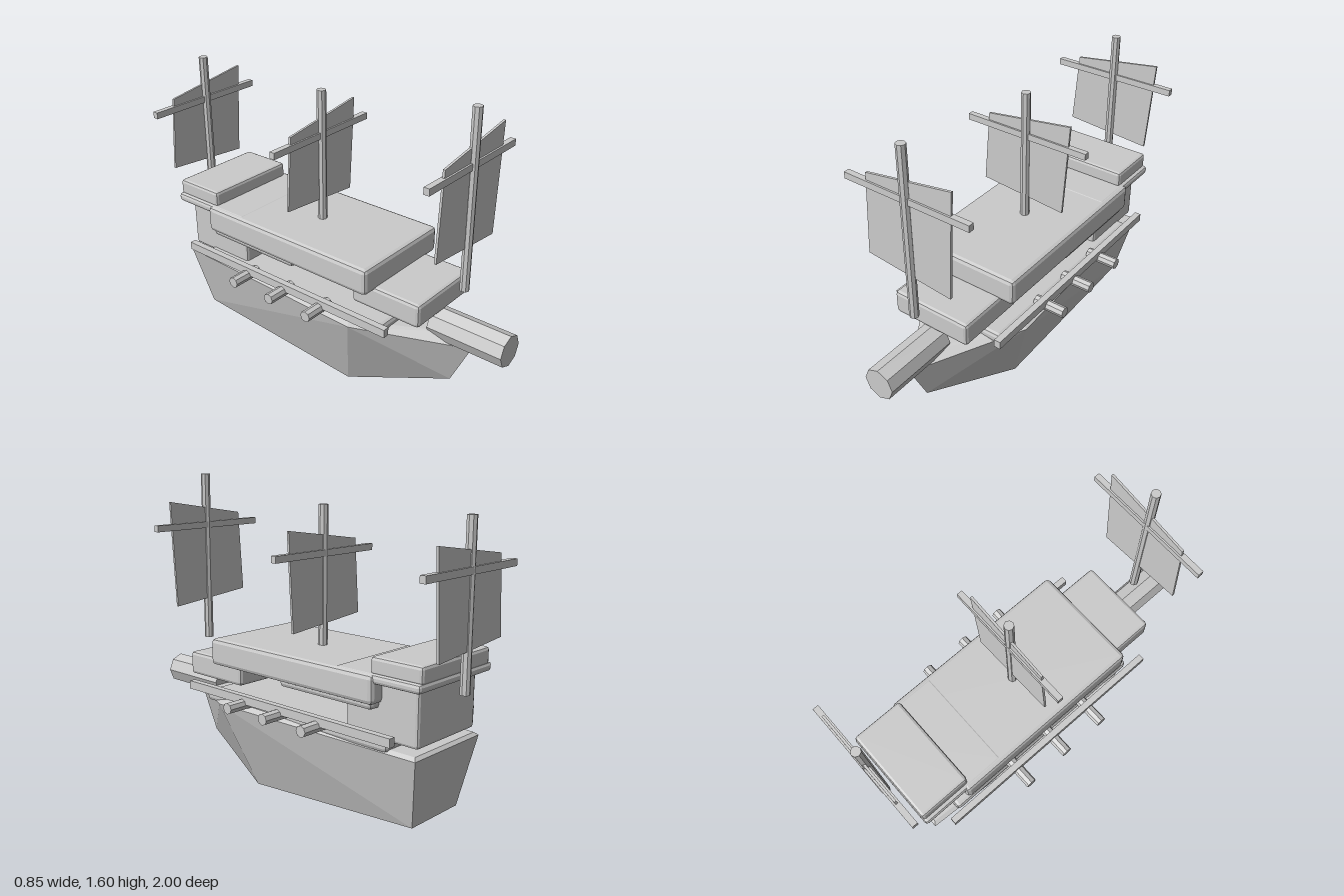
import * as THREE from 'three';
import { RoundedBoxGeometry } from 'three/addons/geometries/RoundedBoxGeometry.js';
import { ConvexGeometry } from 'three/addons/geometries/ConvexGeometry.js';

const grey = new THREE.MeshStandardMaterial({ color: 0xcccccc, flatShading: true });

function add(parent, name, geometry, x = 0, y = 0, z = 0) {
  const mesh = new THREE.Mesh(geometry, grey);
  mesh.name = name;
  mesh.position.set(x, y, z);
  parent.add(mesh);
  return mesh;
}

// Box with chamfered edges, given its half width and its y and z ranges
function block(parent, name, halfWidth, y0, y1, z0, z1, chamfer) {
  const g = new RoundedBoxGeometry(halfWidth * 2, y1 - y0, z1 - z0, 1, chamfer);
  return add(parent, name, g, 0, (y0 + y1) / 2, (z0 + z1) / 2);
}

// Faceted hull: pointed stem, broad shoulders, narrower stern, slightly raised deck
function hullGeometry() {
  const half = [
    [0.32, 0.455, 0.29], [0.165, 0.005, 0.17], // shoulder, keel corner
    [0.25, 0.43, -0.90], [0.175, 0.08, -0.84], // stern
    [0.285, 0.47, 0.27], [0.23, 0.445, -0.885], // deck
  ];
  const points = [new THREE.Vector3(0, 0.38, 0.80), new THREE.Vector3(0, 0.15, 0.69), new THREE.Vector3(0, 0.435, 0.70)];
  for (const [x, y, z] of half) {
    points.push(new THREE.Vector3(x, y, z), new THREE.Vector3(-x, y, z));
  }
  return new ConvexGeometry(points);
}

// Thin, skewed sail: corners run lower left, lower right, upper right, upper left
function sailGeometry(corners) {
  const shape = new THREE.Shape(corners.map(([x, y]) => new THREE.Vector2(x, y)));
  const g = new THREE.ExtrudeGeometry(shape, { depth: 0.012, bevelEnabled: false });
  return g.translate(0, 0, -0.006);
}

function addRig(parent, name, z, bottom, top, yardY, sailYs) {
  const rig = new THREE.Group();
  rig.name = name;
  rig.position.z = z;
  parent.add(rig);
  add(rig, 'mast', new THREE.CylinderGeometry(0.024, 0.024, top - bottom, 8), 0, (top + bottom) / 2, 0);
  add(rig, 'yard', new THREE.BoxGeometry(0.7, 0.034, 0.03), 0, yardY, -0.007);
  const xs = [-0.255, 0.225, 0.255, -0.225];
  add(rig, 'sail', sailGeometry(xs.map((x, i) => [x, sailYs[i]])), 0, 0, -0.007);
}

export function createModel() {
  const ship = new THREE.Group();
  ship.name = 'sailingShip';

  add(ship, 'hull', hullGeometry());

  // Decks and cabins
  block(ship, 'lowerDeck', 0.27, 0.435, 0.492, -0.755, 0.445, 0.02);
  block(ship, 'foreCabin', 0.22, 0.535, 0.66, 0.237, 0.632, 0.018);
  block(ship, 'mainDeck', 0.297, 0.645, 0.785, -0.69, 0.375, 0.022);
  block(ship, 'mainDeckBase', 0.28, 0.617, 0.70, -0.675, -0.105, 0.02);
  block(ship, 'sternCabin', 0.222, 0.472, 0.78, -0.89, -0.485, 0.015);
  block(ship, 'sternLedge', 0.282, 0.742, 0.787, -0.935, -0.45, 0.016);
  block(ship, 'sternRoof', 0.262, 0.775, 0.862, -0.933, -0.652, 0.016);

  // Bowsprit
  const bowsprit = new THREE.CylinderGeometry(0.083, 0.083, 0.41, 8).rotateX(Math.PI / 2);
  add(ship, 'bowsprit', bowsprit, 0, 0.46, 0.795);

  // Rails and cannons on both sides
  for (const side of [1, -1]) {
    const prefix = side > 0 ? 'left' : 'right';
    add(ship, prefix + 'Rail', new THREE.BoxGeometry(0.034, 0.043, 1.335), side * 0.31, 0.516, -0.152);
    for (const z of [0.11, -0.137, -0.387]) {
      const barrel = new THREE.CylinderGeometry(0.029, 0.029, 0.172, 8).rotateZ(Math.PI / 2);
      add(ship, prefix + 'Cannon', barrel, side * 0.34, 0.492, z);
    }
  }

  // Masts with yards and sails
  addRig(ship, 'foreRig', 0.735, 0.69, 1.6, 1.325, [0.94, 0.895, 1.46, 1.38]);
  addRig(ship, 'mainRig', -0.137, 0.695, 1.48, 1.245, [0.915, 0.875, 1.37, 1.3]);
  addRig(ship, 'sternRig', -0.975, 0.695, 1.48, 1.245, [0.915, 0.875, 1.37, 1.3]);

  return ship;
}
